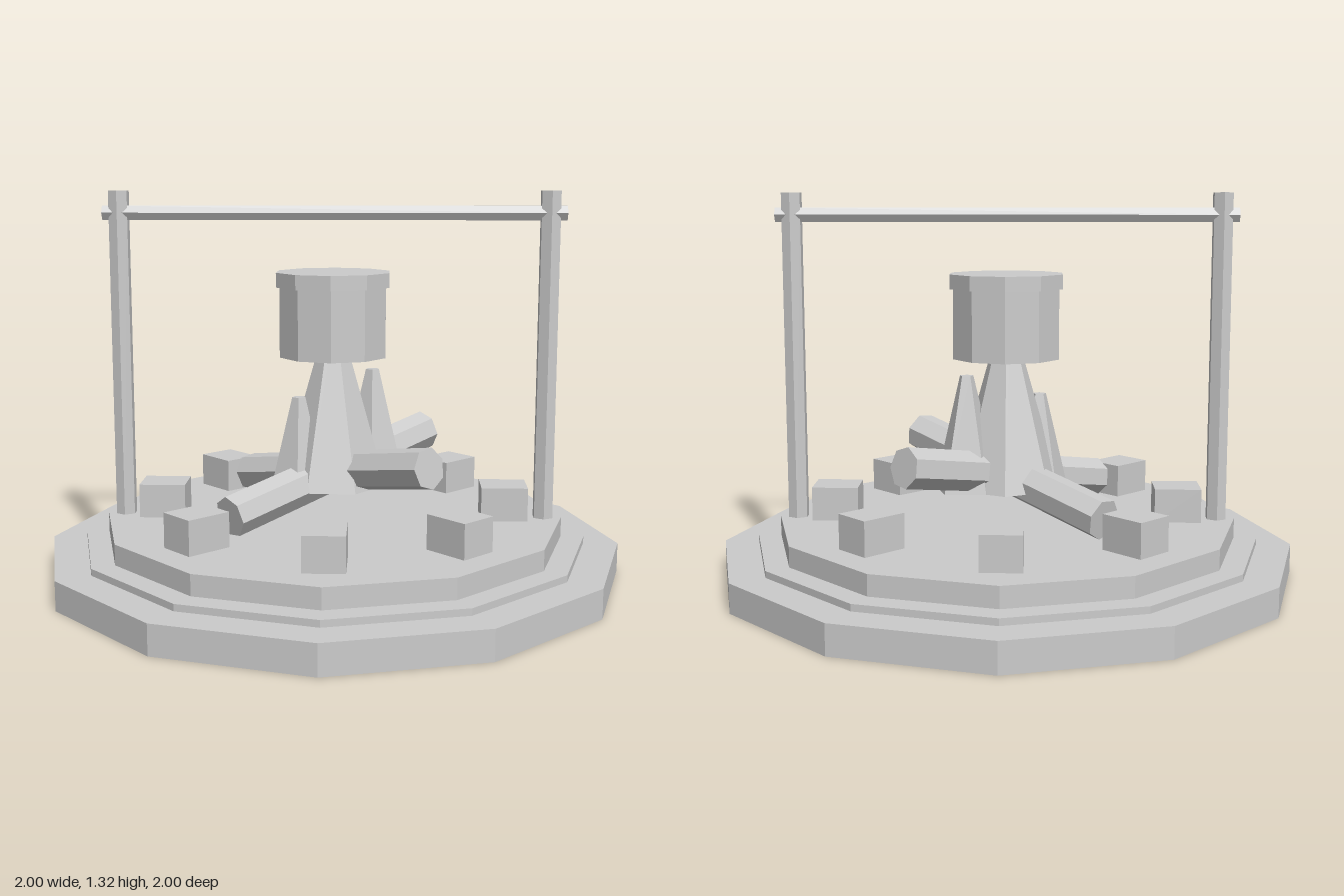
import * as THREE from 'three';

const grey = new THREE.MeshStandardMaterial({ color: 0xcccccc, flatShading: true });

export function createModel() {
  const model = new THREE.Group();

  const add = (name, geometry, x, y, z) => {
    const mesh = new THREE.Mesh(geometry, grey);
    mesh.name = name;
    mesh.position.set(x, y, z);
    model.add(mesh);
    return mesh;
  };
  // Upright faceted drum or cone standing between two heights
  const drum = (name, rTop, rBottom, y0, y1, sides, x = 0, z = 0) =>
    add(name, new THREE.CylinderGeometry(rTop, rBottom, y1 - y0, sides), x, (y0 + y1) / 2, z);

  // Stepped round base
  drum('baseLower', 1, 1, 0, 0.1, 12);
  drum('baseMiddle', 0.88, 0.88, 0.1, 0.123, 12);
  drum('baseUpper', 0.8, 0.8, 0.123, 0.193, 12);

  // Ring of hearth stones
  for (let i = 0; i < 8; i++) {
    const a = (i * Math.PI) / 4;
    const stone = add('stone', new THREE.BoxGeometry(0.135, 0.117, 0.16),
      Math.sin(a) * 0.595, 0.2515, Math.cos(a) * 0.595);
    stone.rotation.y = a;
  }

  // Two long logs crossing through the fire, both rising towards +x
  const up = new THREE.Vector3(0, 1, 0);
  for (const side of [1, -1]) {
    const log = add('log', new THREE.CylinderGeometry(0.07, 0.07, 0.935, 7), 0, 0.353, 0);
    const along = new THREE.Vector3(0.32, 0.083, 0.32 * side).normalize();
    log.quaternion.setFromUnitVectors(up, along);
  }

  // Flames
  drum('mainFlame', 0.02, 0.19, 0.31, 0.9, 7).rotation.y = Math.PI / 7;
  drum('sideFlameLeft', 0.024, 0.12, 0.31, 0.705, 5, 0.135, -0.065);
  drum('sideFlameRight', 0.024, 0.1, 0.31, 0.625, 5, -0.115, 0.065);

  // Cooking pot with rim
  drum('potBody', 0.19, 0.19, 0.76, 1.0, 10);
  drum('potRim', 0.202, 0.202, 1.0, 1.05, 10);

  // Support posts and crossbar
  for (const side of [1, -1]) drum('post', 0.037, 0.037, 0.193, 1.325, 6, side * 0.735);
  const bar = add('crossbar', new THREE.CylinderGeometry(0.028, 0.028, 1.58, 6), 0, 1.25, 0);
  bar.rotation.z = Math.PI / 2;

  return model;
}
